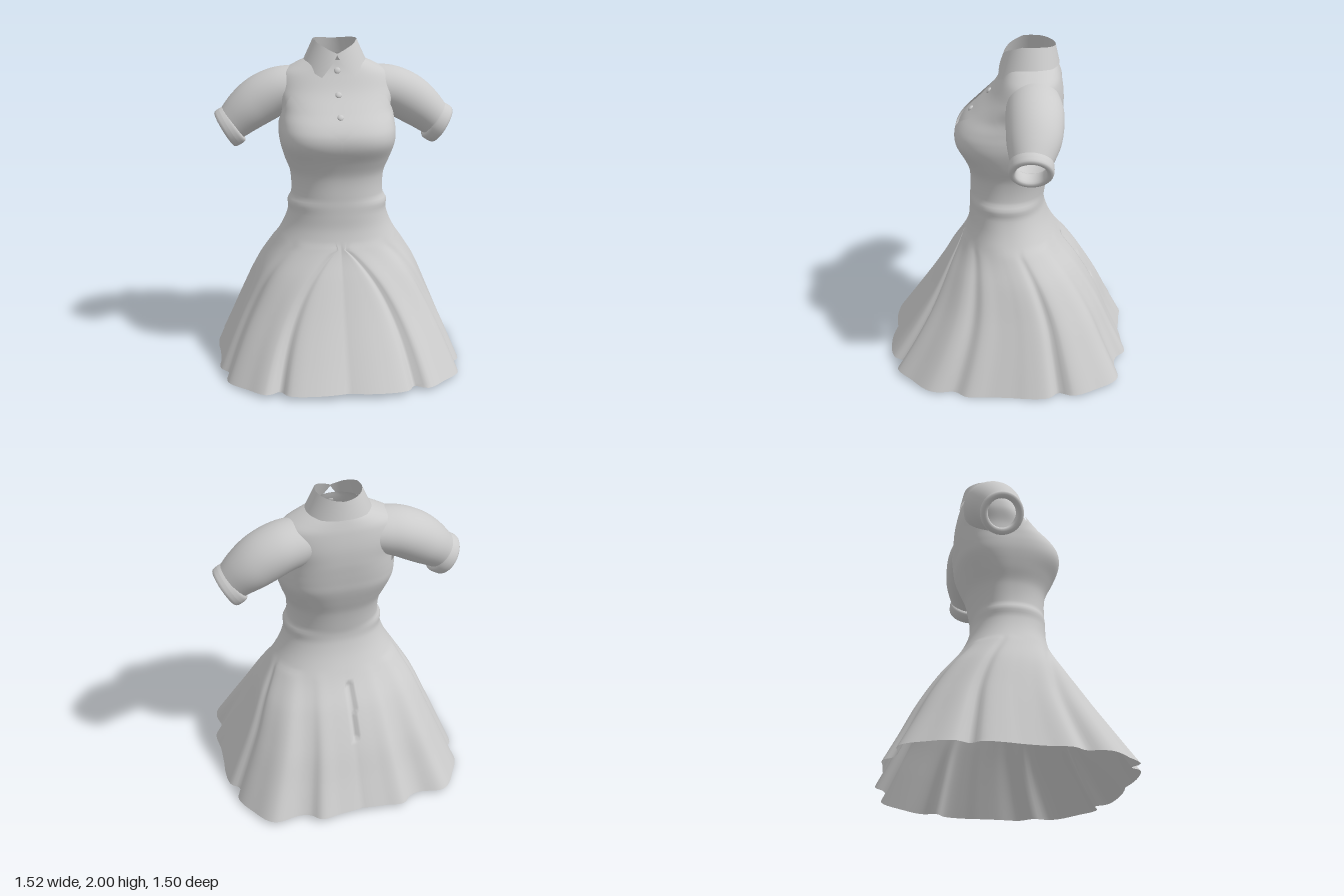
import * as THREE from 'three';

const material = new THREE.MeshStandardMaterial({ color: 0xcccccc, side: THREE.DoubleSide });

// Body sections: y, half width, front z, back z, squareness
const SECTIONS = [
  [0, 0.757, 0.775, -0.765, 2.3], [0.2, 0.675, 0.635, -0.665, 2.3], [0.4, 0.59, 0.5, -0.57, 2.2],
  [0.6, 0.5, 0.375, -0.45, 2.2], [0.75, 0.41, 0.285, -0.335, 2.2], [0.87, 0.34, 0.245, -0.265, 2.2],
  [0.97, 0.305, 0.237, -0.23, 2.2], [1.03, 0.307, 0.235, -0.225, 2.2], [1.07, 0.285, 0.232, -0.23, 2.2],
  [1.2, 0.288, 0.235, -0.255, 2.3], [1.3, 0.318, 0.265, -0.285, 2.5], [1.4, 0.338, 0.305, -0.31, 2.9],
  [1.47, 0.342, 0.305, -0.32, 2.9], [1.53, 0.338, 0.27, -0.328, 2.8], [1.6, 0.335, 0.2, -0.335, 2.6],
  [1.7, 0.355, 0.105, -0.335, 2.4], [1.8, 0.33, 0.042, -0.32, 2.3], [1.85, 0.25, 0.018, -0.305, 2.2],
  [1.89, 0.165, 0.005, -0.29, 2],
];

// Half of the wavy hem (x, z), from front centre to back centre
const HEM = [
  [0, 0.73], [0.22, 0.745], [0.36, 0.71], [0.41, 0.64], [0.48, 0.675], [0.6, 0.57], [0.7, 0.46],
  [0.715, 0.39], [0.7, 0.3], [0.75, 0.22], [0.745, 0.08], [0.75, -0.05], [0.76, -0.15], [0.75, -0.27],
  [0.7, -0.325], [0.73, -0.41], [0.67, -0.55], [0.56, -0.69], [0.41, -0.68], [0.33, -0.7],
  [0.27, -0.755], [0.15, -0.745], [0, -0.73],
].map(([x, z]) => [Math.atan2(x, z), Math.hypot(x, z)]);

// Dress neckline, collar lower edge and collar upper edge: angle from front, height
const NECKLINE = [[0, 1.455], [0.3, 1.54], [0.55, 1.59], [0.8, 1.69], [1, 1.63], [1.4, 1.55], [1.75, 1.5], [2.3, 1.53], [3.1416, 1.545]];
const COLLAR_LOW = [[0, 1.92], [0.42, 1.79], [0.85, 1.83], [1.6, 1.865], [3.1416, 1.88]];
const COLLAR_TOP = [[0, 1.93], [0.5, 1.965], [1.2, 2], [2, 2], [3.1416, 1.985]];

// Table lookup, straight or with smooth slopes
function look(table, t, col = 1, smooth = false) {
  const last = table.length - 1;
  if (t <= table[0][0]) return table[0][col];
  if (t >= table[last][0]) return table[last][col];
  let i = 0;
  while (table[i + 1][0] < t) i++;
  const [a, b] = [table[i], table[i + 1]];
  const h = b[0] - a[0], s = (t - a[0]) / h;
  if (!smooth) return a[col] + (b[col] - a[col]) * s;
  const slope = k => {
    const p = table[Math.max(k - 1, 0)], q = table[Math.min(k + 1, last)];
    return (q[col] - p[col]) / (q[0] - p[0]);
  };
  const s2 = s * s, s3 = s2 * s;
  return (2 * s3 - 3 * s2 + 1) * a[col] + (s3 - 2 * s2 + s) * h * slope(i)
    + (3 * s2 - 2 * s3) * b[col] + (s3 - s2) * h * slope(i + 1);
}

// Closed tube surface: point(row, angle) gives [x, y, z]
function loft(rows, cols, point) {
  const pos = [], idx = [];
  for (let j = 0; j <= rows; j++)
    for (let i = 0; i < cols; i++) {
      let angle = (i / cols) * Math.PI * 2;
      if (angle > Math.PI) angle -= Math.PI * 2;
      pos.push(...point(j, angle));
      if (j === rows) continue;
      const a = j * cols + i, b = j * cols + ((i + 1) % cols);
      idx.push(a, b, b + cols, a, b + cols, a + cols);
    }
  const g = new THREE.BufferGeometry();
  g.setAttribute('position', new THREE.Float32BufferAttribute(pos, 3));
  g.setIndex(idx);
  g.computeVertexNormals();
  return g;
}

// Point on the body at height y; folds mix in the hem outline
function body(y, angle, offset = 0, folds = false) {
  const [hx, zf, zb, n] = [1, 2, 3, 4].map(c => look(SECTIONS, y, c, true));
  const p = Math.abs(angle), p0 = HEM[3][0];
  let a = p, w = 0;
  if (folds) {
    // front pleat folds converge towards its apex, then relax
    const k = y < 0.77 ? Math.max(0.1, (1 - (y / 0.78) ** 3) ** 0.7) : Math.min(1, 0.1 + (y - 0.77) * 1.8);
    const f = p0 * k;
    a = p < p0 ? p * k : f + (p - p0) * (Math.PI - f) / (Math.PI - p0);
    w = Math.max(0, 1 - y / 0.8) ** 0.5;
  }
  const s = Math.sin(a), c = Math.cos(a);
  let r = (Math.abs(s) ** n + Math.abs(c) ** n) ** (-1 / n);
  if (w > 0) r += (look(HEM, p, 1, true) / 0.755 - r) * w;
  const x = Math.sign(angle) * s * (hx * r + offset);
  const z = (zf + zb) / 2 + c * ((zf - zb) / 2 * r + offset);
  return [x, y, z];
}

function add(group, name, geometry) {
  const mesh = new THREE.Mesh(geometry, material);
  mesh.name = name;
  group.add(mesh);
  return mesh;
}

// Sleeve path: x, y, z, radius in the front plane, radius in depth
const SLEEVE = [
  [0.19, 1.705, -0.157, 0.13, 0.15], [0.27, 1.695, -0.16, 0.142, 0.162], [0.36, 1.675, -0.165, 0.148, 0.168],
  [0.46, 1.625, -0.165, 0.15, 0.165], [0.55, 1.56, -0.16, 0.137, 0.152], [0.645, 1.475, -0.147, 0.11, 0.115],
];

function sleeve(side) {
  const path = new THREE.CatmullRomCurve3(SLEEVE.map(p => new THREE.Vector3(p[0], p[1], p[2])));
  const radii = SLEEVE.map((p, i) => [i, p[3], p[4]]);
  const rows = 24;
  return loft(rows, 40, (j, angle) => {
    const u = j / rows, c = path.getPoint(u), t = path.getTangent(u);
    const k = u * (SLEEVE.length - 1);
    const up = Math.cos(angle) * look(radii, k, 1, true), out = Math.sin(angle) * look(radii, k, 2, true);
    const l = Math.hypot(t.x, t.y);
    return [side * (c.x - t.y / l * up), c.y + t.x / l * up, c.z + side * out];
  });
}

export function createModel() {
  const model = new THREE.Group();
  model.name = 'dress';

  // Dress: flared skirt, waist and bodice in one surface with a shallow slot at the back
  const lower = 80, upper = 24, split = 1.35;
  add(model, 'skirtAndBodice', loft(lower + upper, 240, (j, angle) => {
    const p = Math.abs(angle);
    const hem = 0.032 * Math.cos(p) ** 2;
    const y = j <= lower ? hem + (split - hem) * j / lower
      : split + (look(NECKLINE, p) - split) * (j - lower) / upper;
    const ease = THREE.MathUtils.smoothstep(y, 1.2, 1.45);
    const v = body(y, angle, 0.014 * ease, true);
    if (v[2] < 0 && Math.abs(v[0] + 0.008) < 0.02 && y > 0.43 && y < 0.74) v[2] += 0.02;
    return v;
  }));

  // Shirt with rounded shoulders, tucked into the bodice
  add(model, 'shirt', loft(36, 96, (j, angle) => body(1.4 + 0.49 * j / 36, angle)));

  // Pointed collar, open in a V at the front
  add(model, 'collar', loft(8, 150, (j, angle) => {
    const p = Math.abs(angle), low = look(COLLAR_LOW, p);
    const y = low + (look(COLLAR_TOP, p) - low) * j / 8;
    const f = (2 - y) / 0.13, c = Math.cos(angle);
    return [Math.sin(angle) * (0.135 + 0.06 * f), y, -0.14 + c * (0.14 + (c > 0 ? 0.047 : 0.03) * f)];
  }));

  // Sleeves with rounded cuffs
  const ring = [];
  for (let i = 0; i <= 16; i++) {
    const a = -i / 16 * Math.PI * 2;
    const soft = v => Math.sign(v) * Math.abs(v) ** 0.7;
    ring.push(new THREE.Vector2(0.108 + 0.022 * soft(Math.cos(a)), -0.042 * soft(Math.sin(a))));
  }
  for (const side of [1, -1]) {
    const label = side > 0 ? 'left' : 'right';
    add(model, label + 'Sleeve', sleeve(side));
    const cuff = add(model, label + 'Cuff', new THREE.LatheGeometry(ring, 40));
    cuff.position.set(side * 0.652, 1.463, -0.147);
    cuff.quaternion.setFromUnitVectors(new THREE.Vector3(0, 1, 0), new THREE.Vector3(side * 0.86, -0.51, 0));
  }

  // Buttons, set along the slope of the chest
  for (const y of [1.83, 1.695, 1.58]) {
    const [, , z] = body(y, 0), dz = body(y + 0.01, 0)[2] - body(y - 0.01, 0)[2];
    const button = add(model, 'button', new THREE.SphereGeometry(0.02, 20, 12));
    button.scale.z = 0.5;
    button.position.set(0, y, z + 0.005);
    button.rotation.x = Math.atan2(dz, 0.02);
  }
  return model;
}
